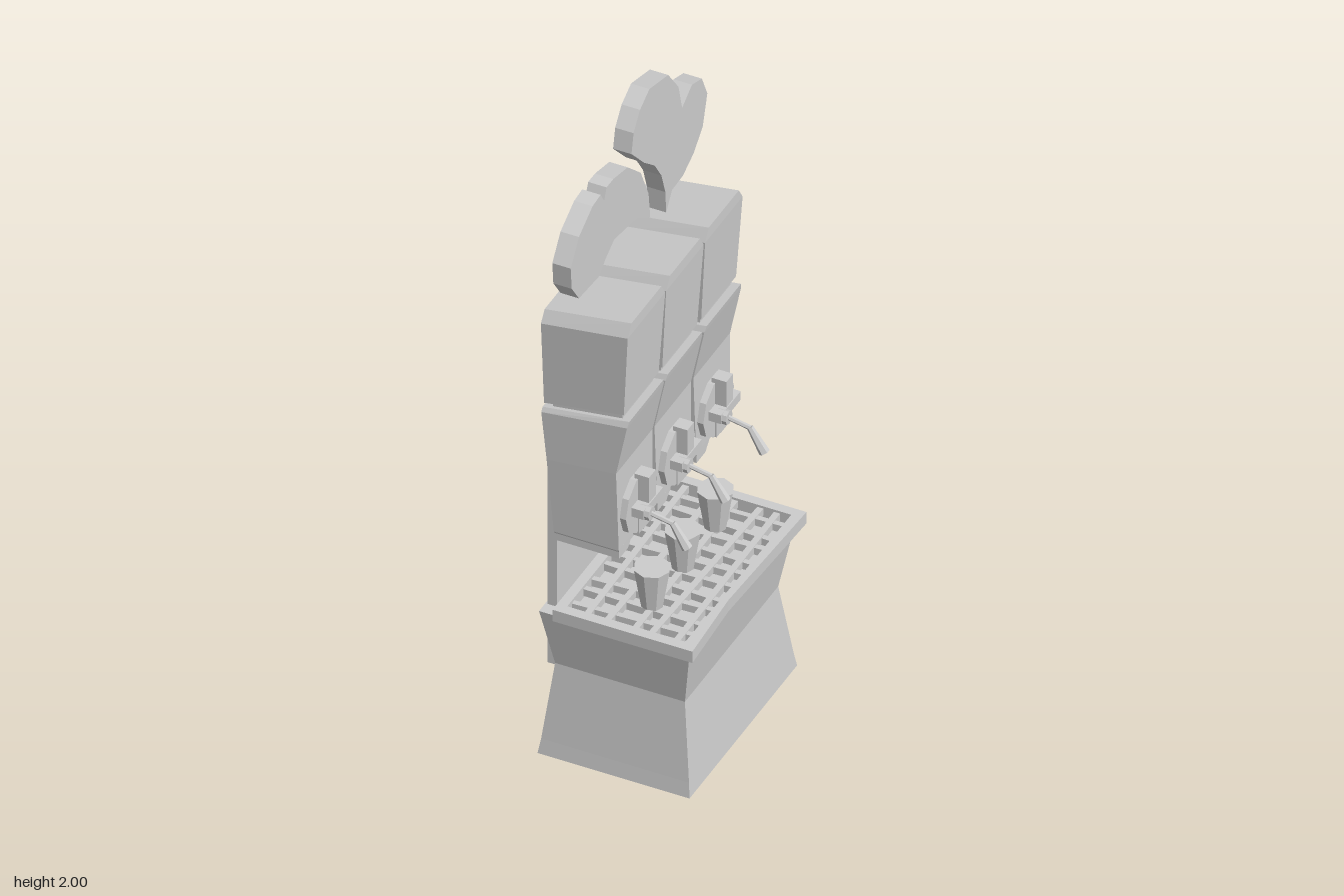
import * as THREE from 'three';

const metal = new THREE.MeshStandardMaterial({ color: 0xcccccc, flatShading: true });
metal.name = 'light grey';

function add(parent, name, geometry, x = 0, y = 0, z = 0) {
  const m = new THREE.Mesh(geometry, metal);
  m.name = name;
  m.position.set(x, y, z);
  parent.add(m);
  return m;
}

function box(parent, name, x0, x1, y0, y1, z0, z1) {
  return add(parent, name, new THREE.BoxGeometry(x1 - x0, y1 - y0, z1 - z0),
    (x0 + x1) / 2, (y0 + y1) / 2, (z0 + z1) / 2);
}

// Four-sided loft; each level is [xBack, yBack, xFront, yFront, zMin, zMax]
function loft(levels) {
  const rings = levels.map(([xb, yb, xf, yf, z0, z1]) =>
    [[xb, yb, z1], [xf, yf, z1], [xf, yf, z0], [xb, yb, z0]]);
  const pos = [];
  const quad = (a, b, c, d) => pos.push(...a, ...b, ...c, ...a, ...c, ...d);
  for (let k = 0; k < rings.length - 1; k++) {
    const r = rings[k], s = rings[k + 1];
    for (let i = 0; i < 4; i++) quad(r[i], r[(i + 1) % 4], s[(i + 1) % 4], s[i]);
  }
  quad(...rings[rings.length - 1]);
  quad(...[...rings[0]].reverse());
  const g = new THREE.BufferGeometry();
  g.setAttribute('position', new THREE.Float32BufferAttribute(pos, 3));
  g.computeVertexNormals();
  return g;
}

// Straight round rod between two points, may taper
function rod(parent, name, a, b, ra, rb, sides = 6) {
  const p = new THREE.Vector3(...a), q = new THREE.Vector3(...b);
  const dir = q.clone().sub(p);
  const m = add(parent, name, new THREE.CylinderGeometry(rb, ra, dir.length(), sides));
  m.position.copy(p).add(q).multiplyScalar(0.5);
  m.quaternion.setFromUnitVectors(new THREE.Vector3(0, 1, 0), dir.normalize());
}

// Flat splash drop, outline given as [z, y] pairs
function drop(parent, x0, outline) {
  const shape = new THREE.Shape(outline.map(([z, y]) => new THREE.Vector2(-z, y)));
  const g = new THREE.ExtrudeGeometry(shape, { depth: 0.053, bevelEnabled: false });
  add(parent, 'splashDrop', g, x0).rotation.y = Math.PI / 2;
}

function tower(z) {
  const t = new THREE.Group();
  t.name = 'dispenserTower';
  t.position.z = z;
  // tank on top
  add(t, 'upperTank', loft([
    [-0.2, 1.168, 0.03, 1.205, -0.102, 0.102],
    [-0.205, 1.43, 0.045, 1.465, -0.11, 0.11],
    [-0.205, 1.462, 0.045, 1.5, -0.088, 0.088]]));
  add(t, 'neck', loft([
    [-0.18, 1.14, 0.02, 1.17, -0.09, 0.09],
    [-0.18, 1.18, 0.02, 1.21, -0.09, 0.09]]));
  // tapering housing with two feet
  add(t, 'lowerHousing', loft([
    [-0.173, 0.755, 0.014, 0.755, -0.099, 0.099],
    [-0.19, 0.99, 0.01, 1.01, -0.107, 0.107],
    [-0.205, 1.14, 0.042, 1.17, -0.108, 0.108],
    [-0.205, 1.152, 0.045, 1.187, -0.1, 0.1]]));
  for (const s of [-1, 1]) {
    const inner = [s * 0.025, s * 0.097].sort((a, b) => a - b);
    const wide = [s * 0.02, s * 0.099].sort((a, b) => a - b);
    const low = [s * 0.045, s * 0.097].sort((a, b) => a - b);
    add(t, 'housingFoot', loft([
      [-0.17, 0.728, 0.014, 0.728, ...low],
      [-0.172, 0.75, 0.014, 0.75, ...inner],
      [-0.173, 0.757, 0.014, 0.757, ...wide]]));
  }
  // tap with round plate and lever
  const plate = add(t, 'tapPlate', new THREE.CylinderGeometry(0.09, 0.09, 0.024, 10), 0.018, 0.855, 0);
  plate.rotation.z = Math.PI / 2;
  box(t, 'tapBody', 0.02, 0.062, 0.87, 0.955, -0.02, 0.02);
  box(t, 'tapSpout', 0.015, 0.034, 0.765, 0.875, -0.02, 0.02);
  box(t, 'tapCrossbar', 0.028, 0.065, 0.845, 0.873, -0.058, 0.058);
  rod(t, 'tapPivot', [0.045, 0.855, 0.036], [0.078, 0.855, 0.036], 0.02, 0.02, 8);
  rod(t, 'leverArm', [0.07, 0.857, 0.036], [0.14, 0.843, 0.036], 0.007, 0.007);
  rod(t, 'leverGrip', [0.138, 0.845, 0.036], [0.18, 0.777, 0.036], 0.009, 0.015);
  return t;
}

export function createModel() {
  const model = new THREE.Group();
  model.name = 'drinkDispenser';

  // waisted base cabinet
  add(model, 'base', loft([
    [-0.23, 0, 0.208, 0, -0.31, 0.32],
    [-0.223, 0.045, 0.203, 0.045, -0.3, 0.313],
    [-0.197, 0.28, 0.177, 0.28, -0.262, 0.284],
    [-0.228, 0.46, 0.205, 0.46, -0.302, 0.315]]));

  // tray rim, slightly crooked, drawn as x against -z
  const rim = new THREE.Shape([[-0.178, -0.338], [0.225, -0.338], [0.212, -0.1], [0.228, 0.324], [-0.178, 0.324]]
    .map(p => new THREE.Vector2(...p)));
  rim.holes.push(new THREE.Path([[-0.15, -0.308], [-0.15, 0.296], [0.198, 0.296], [0.19, -0.308]]
    .map(p => new THREE.Vector2(...p))));
  const rimGeo = new THREE.ExtrudeGeometry(rim, { depth: 0.037, bevelEnabled: false });
  add(model, 'trayRim', rimGeo, 0, 0.46, 0).rotation.x = -Math.PI / 2;

  // grate bars, each a little askew
  for (const [i, x] of [-0.1, -0.03, 0.04, 0.1, 0.16].entries()) {
    box(model, 'grateLongBar', x - 0.009, x + 0.009, 0.468, 0.49, -0.3, 0.312)
      .rotation.y = [0.02, -0.02, 0.015, -0.03, 0.01][i];
  }
  for (let i = 0; i < 10; i++) {
    const z = -0.255 + i * 0.058;
    box(model, 'grateCrossBar', -0.152, 0.196, 0.466, 0.488, z - 0.008, z + 0.008)
      .rotation.y = [0.03, -0.04, 0.05, -0.02, 0.04][i % 5];
  }

  // cups on the tray
  for (const z of [0.193, 0.013, -0.177]) {
    add(model, 'cup', new THREE.CylinderGeometry(0.05, 0.03, 0.122, 8), 0.038, 0.549, z);
  }

  box(model, 'backPanel', -0.222, -0.194, 0.27, 1.397, -0.257, 0.278);
  for (const z of [0.241, 0.016, -0.212]) model.add(tower(z));

  // splash sign on top
  drop(model, -0.118, [[0, 2], [-0.11, 1.97], [-0.17, 1.89], [-0.193, 1.8], [-0.188, 1.71], [-0.16, 1.62],
    [-0.098, 1.53], [-0.093, 1.6], [-0.07, 1.67], [-0.03, 1.73], [0.03, 1.78], [0.105, 1.86], [0.093, 1.92], [0.055, 1.97]]);
  drop(model, -0.148, [[-0.066, 1.525], [-0.056, 1.61], [-0.01, 1.71], [0.066, 1.78], [0.15, 1.8], [0.19, 1.8],
    [0.204, 1.767], [0.225, 1.8], [0.272, 1.795], [0.352, 1.75], [0.4, 1.68], [0.394, 1.61], [0.352, 1.55],
    [0.23, 1.54], [0.198, 1.57], [0.145, 1.6], [0.013, 1.577]]);
  drop(model, -0.148, [[-0.135, 1.525], [-0.188, 1.565], [-0.225, 1.63], [-0.22, 1.69], [-0.246, 1.75],
    [-0.31, 1.79], [-0.368, 1.77], [-0.4, 1.7], [-0.373, 1.61], [-0.32, 1.56], [-0.257, 1.53]]);
  return model;
}
